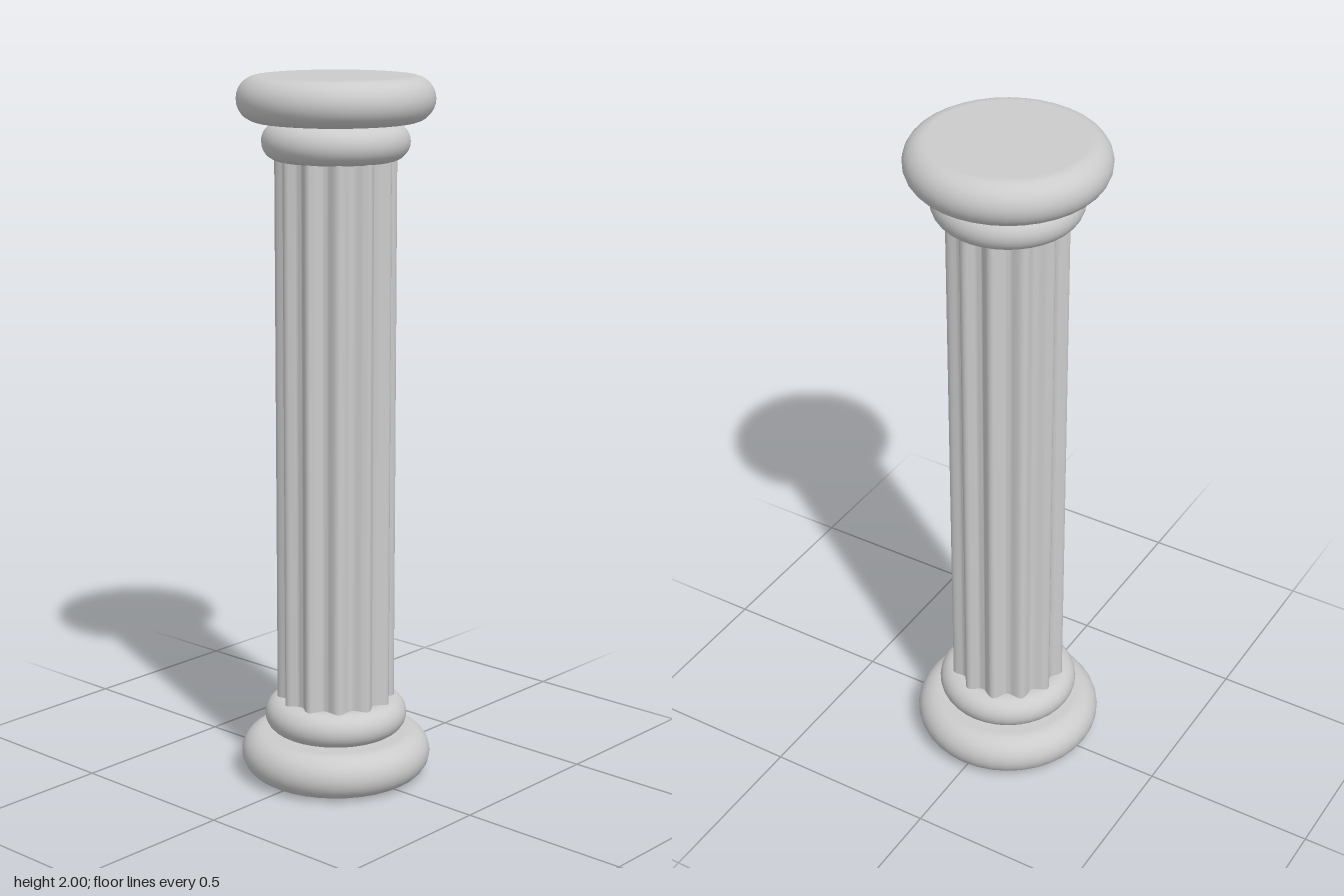
import * as THREE from 'three';
import { toCreasedNormals } from 'three/addons/utils/BufferGeometryUtils.js';

const material = new THREE.MeshStandardMaterial({ color: 0xcccccc });

// Solid disc with a half-round rim, standing from y0 to y1
function cushion(name, radius, y0, y1) {
  const r = (y1 - y0) / 2;
  const points = [new THREE.Vector2(0, y0)];
  const steps = 14;
  for (let i = 0; i <= steps; i++) {
    const a = -Math.PI / 2 + (Math.PI * i) / steps;
    points.push(new THREE.Vector2(radius - r + r * Math.cos(a), y0 + r + r * Math.sin(a)));
  }
  points.push(new THREE.Vector2(0, y1));
  const mesh = new THREE.Mesh(new THREE.LatheGeometry(points, 36), material);
  mesh.name = name;
  return mesh;
}

// Column with rounded vertical flutes; ridges sit either side of each axis
function flutedShaft(y0, y1) {
  const flutes = 12, mean = 0.156, depth = 0.012;
  const geo = new THREE.CylinderGeometry(1, 1, y1 - y0, flutes * 12, 1);
  const pos = geo.attributes.position;
  for (let i = 0; i < pos.count; i++) {
    const x = pos.getX(i), z = pos.getZ(i);
    if (Math.hypot(x, z) < 0.5) continue; // cap centres
    const r = mean - depth * Math.cos(flutes * Math.atan2(x, z));
    pos.setX(i, x * r);
    pos.setZ(i, z * r);
  }
  geo.translate(0, (y0 + y1) / 2, 0);
  const mesh = new THREE.Mesh(toCreasedNormals(geo, 0.8), material);
  mesh.name = 'flutedShaft';
  return mesh;
}

export function createModel() {
  const column = new THREE.Group();
  column.name = 'column';
  column.add(
    // base
    cushion('basePlinth', 0.272, 0, 0.13),
    cushion('baseRing', 0.204, 0.13, 0.23),
    // shaft, its ends sunk into the rings
    flutedShaft(0.2, 1.8),
    // capital
    cushion('capitalRing', 0.204, 1.77, 1.875),
    cushion('capitalSlab', 0.272, 1.875, 2)
  );
  return column;
}
